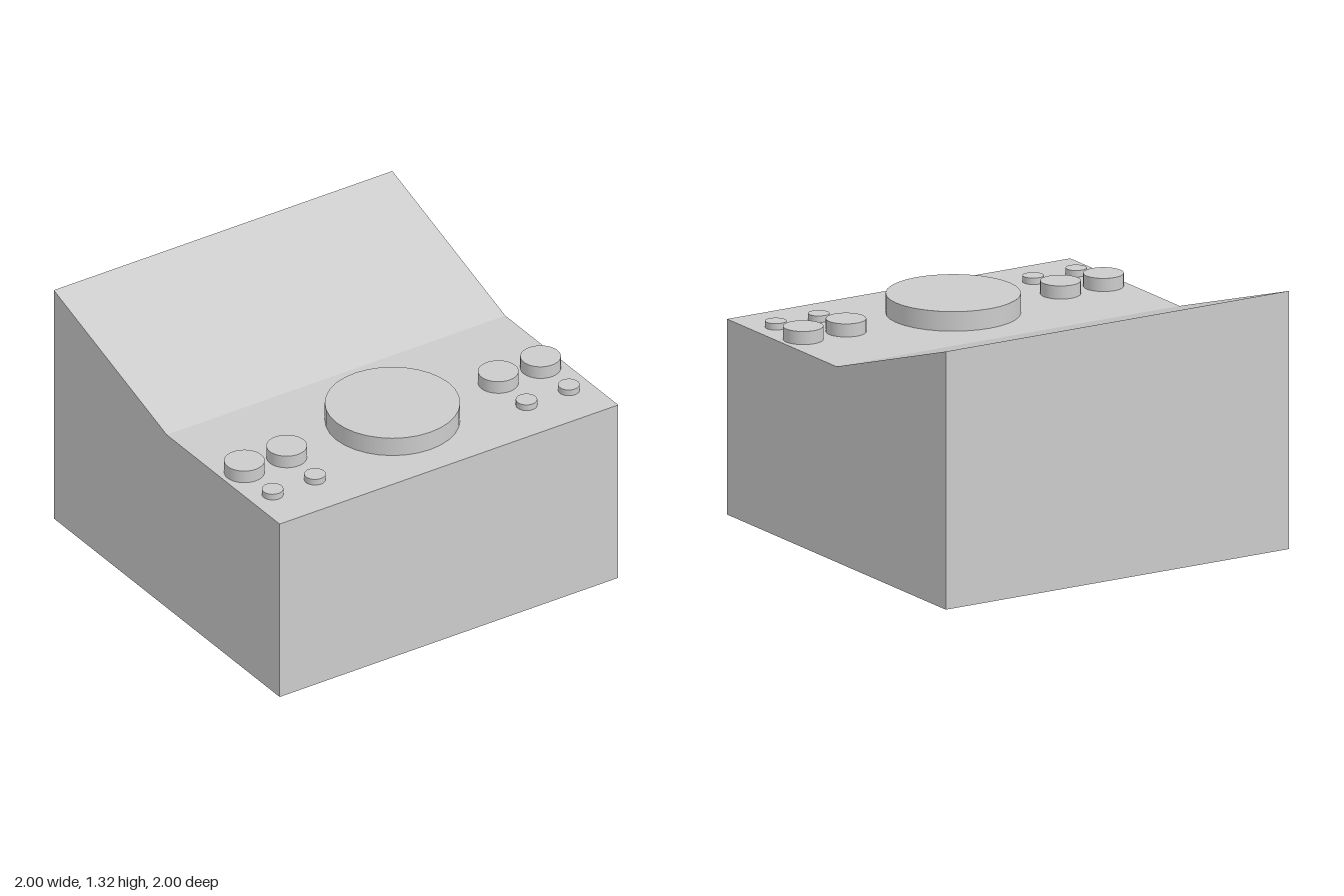
import * as THREE from 'three';

export function createModel() {
  const model = new THREE.Group();
  model.name = 'console';
  const material = new THREE.MeshStandardMaterial({ color: 0xcccccc });
  const deckY = 1;

  // Body: side profile (z, y) with a flat deck and a sloped rear panel
  const profile = new THREE.Shape(
    [[1, 0], [1, deckY], [0, deckY], [-1, 1.32], [-1, 0]].map(([z, y]) => new THREE.Vector2(z, y))
  );
  const bodyGeometry = new THREE.ExtrudeGeometry(profile, { depth: 2, bevelEnabled: false });
  bodyGeometry.rotateY(-Math.PI / 2).translate(1, 0, 0);
  const body = new THREE.Mesh(bodyGeometry, material);
  body.name = 'body';
  model.add(body);

  // Round controls standing on the deck
  function addDisc(name, radius, height, x, z) {
    const disc = new THREE.Mesh(new THREE.CylinderGeometry(radius, radius, height, 32), material);
    disc.name = name;
    disc.position.set(x, deckY + height / 2, z);
    model.add(disc);
  }

  addDisc('mainDial', 0.333, 0.1, 0, 0.5);
  for (const [sideName, side] of [['left', 1], ['right', -1]]) {
    for (const [placeName, x] of [['Inner', 0.625], ['Outer', 0.875]]) {
      addDisc(`${sideName}${placeName}Knob`, 0.1, 0.067, side * x, 0.5);
      addDisc(`${sideName}${placeName}Button`, 0.053, 0.033, side * x, 0.75);
    }
  }

  return model;
}
